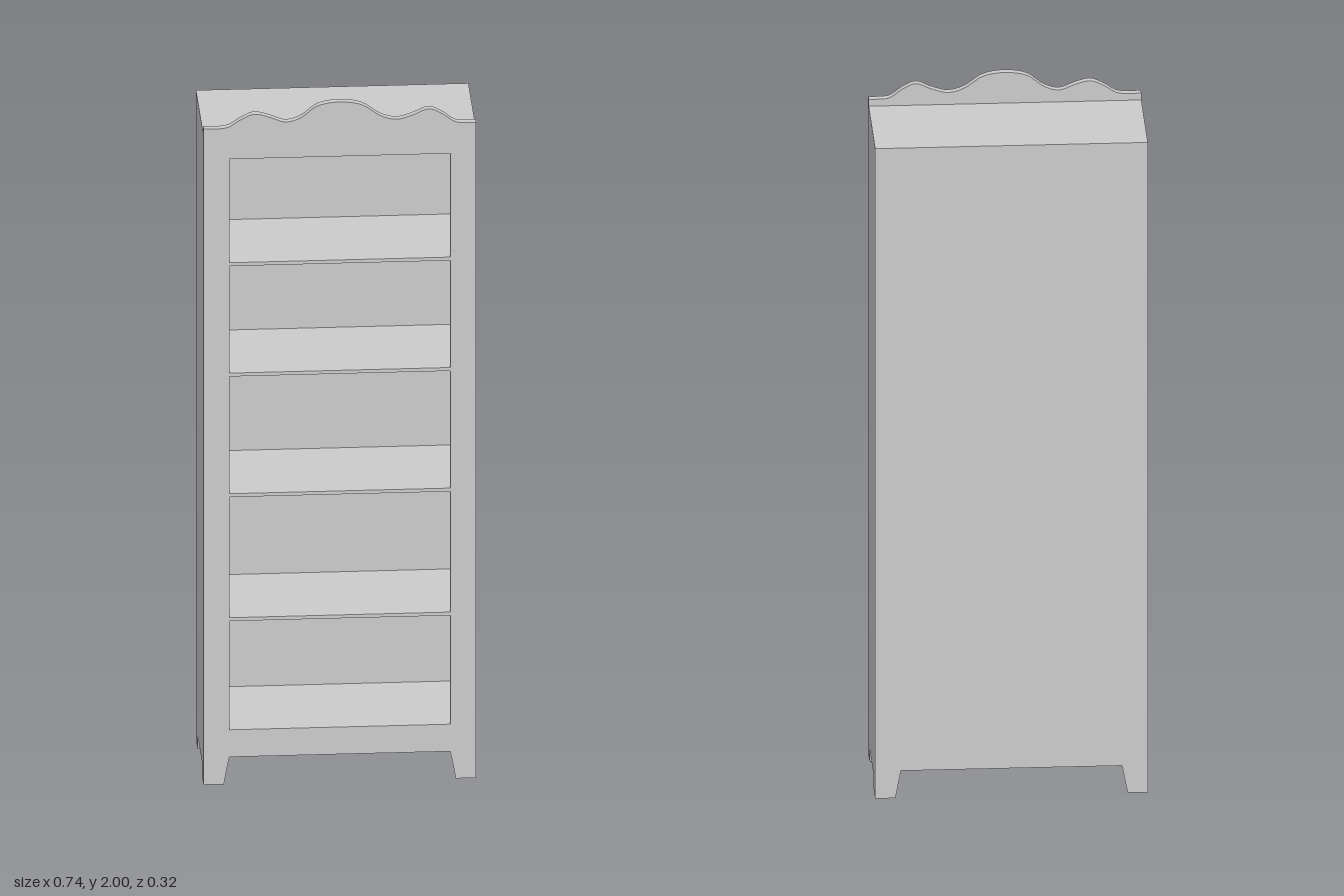
import * as THREE from 'three';
import { toCreasedNormals } from 'three/addons/utils/BufferGeometryUtils.js';

const W = 0.37;                          // half width
const BACK = -0.16, FRONT = 0.158;       // depth limits
const FRAME_BACK = 0.137;                // rear face of the front frame
const TOP = 1.91;
const SIDE_T = 0.035, BACK_T = 0.02;
// bottom and top of each opening, lowest first
const BAYS = [[0.16, 0.48], [0.49, 0.845], [0.855, 1.2], [1.21, 1.525], [1.535, 1.84]];

export function createModel() {
  const group = new THREE.Group();
  group.name = 'bookcase';
  const material = new THREE.MeshStandardMaterial({ color: 0xcccccc });

  const add = (name, geometry) => {
    const mesh = new THREE.Mesh(geometry, material);
    mesh.name = name;
    group.add(mesh);
    return mesh;
  };
  // box given by its limits on each axis
  const addBox = (name, x0, x1, y0, y1, z0, z1) =>
    add(name, new THREE.BoxGeometry(x1 - x0, y1 - y0, z1 - z0))
      .position.set((x0 + x1) / 2, (y0 + y1) / 2, (z0 + z1) / 2);

  // front frame: tapered feet, wavy crest and one hole per shelf bay
  const frame = new THREE.Shape();
  frame.moveTo(-W, 0);
  frame.lineTo(-0.315, 0);
  frame.lineTo(-0.3, 0.08);
  frame.lineTo(0.3, 0.08);
  frame.lineTo(0.315, 0);
  frame.lineTo(W, 0);
  frame.lineTo(W, 1.93);
  frame.lineTo(0.335, 1.93);
  frame.splineThru([
    [0.31, 1.935], [0.275, 1.96], [0.24, 1.973], [0.2, 1.957], [0.155, 1.945], [0.11, 1.957],
    [0.06, 1.99], [0, 2], [-0.06, 1.99], [-0.105, 1.957], [-0.147, 1.945], [-0.19, 1.96],
    [-0.23, 1.97], [-0.265, 1.957], [-0.3, 1.935], [-0.325, 1.93],
  ].map(([x, y]) => new THREE.Vector2(x, y)));
  frame.lineTo(-W, 1.93);
  frame.closePath();
  for (const [y0, y1] of BAYS) {
    const hole = new THREE.Path();
    hole.moveTo(-0.3, y0);
    hole.lineTo(-0.3, y1);
    hole.lineTo(0.3, y1);
    hole.lineTo(0.3, y0);
    hole.closePath();
    frame.holes.push(hole);
  }
  const frameGeometry = new THREE.ExtrudeGeometry(frame, {
    depth: FRONT - FRAME_BACK, bevelEnabled: false, curveSegments: 5,
  });
  frameGeometry.translate(0, 0, FRAME_BACK);
  add('frontFrame', toCreasedNormals(frameGeometry, Math.PI / 6));

  // carcass
  addBox('base', -W, W, 0.08, 0.16, BACK, FRAME_BACK);
  addBox('topPanel', -W, W, TOP - 0.02, TOP, BACK, FRAME_BACK);
  addBox('backPanel', -W, W, 0.16, TOP - 0.02, BACK, BACK + BACK_T);
  addBox('leftSide', W - SIDE_T, W, 0.16, TOP - 0.02, BACK + BACK_T, FRAME_BACK);
  addBox('rightSide', -W, SIDE_T - W, 0.16, TOP - 0.02, BACK + BACK_T, FRAME_BACK);

  // shelves fill the gaps between neighbouring bays
  for (let i = 1; i < BAYS.length; i++) {
    addBox('shelf' + i, SIDE_T - W, W - SIDE_T, BAYS[i - 1][1], BAYS[i][0], BACK + BACK_T, FRAME_BACK);
  }

  // foot rails: side profile with a cutout, inner face slanted
  const profile = new THREE.Shape([
    [BACK, 0], [-0.095, 0], [-0.085, 0.04], [0.09, 0.04], [0.1, 0],
    [FRAME_BACK, 0], [FRAME_BACK, 0.08], [BACK, 0.08],
  ].map(([z, y]) => new THREE.Vector2(-z, y)));
  for (const side of [1, -1]) {
    const rail = new THREE.ExtrudeGeometry(profile, { depth: 0.07, bevelEnabled: false });
    rail.rotateY(Math.PI / 2);           // profile now lies along z, thickness along +x
    rail.translate(side > 0 ? 0.3 : -W, 0, 0);
    const p = rail.attributes.position;
    for (let i = 0; i < p.count; i++) {
      if (Math.abs(p.getX(i)) < 0.33) {
        p.setX(i, side * (0.315 - 0.015 * p.getY(i) / 0.08));
      }
    }
    rail.computeVertexNormals();
    add(side > 0 ? 'leftFootRail' : 'rightFootRail', rail);
  }

  return group;
}
